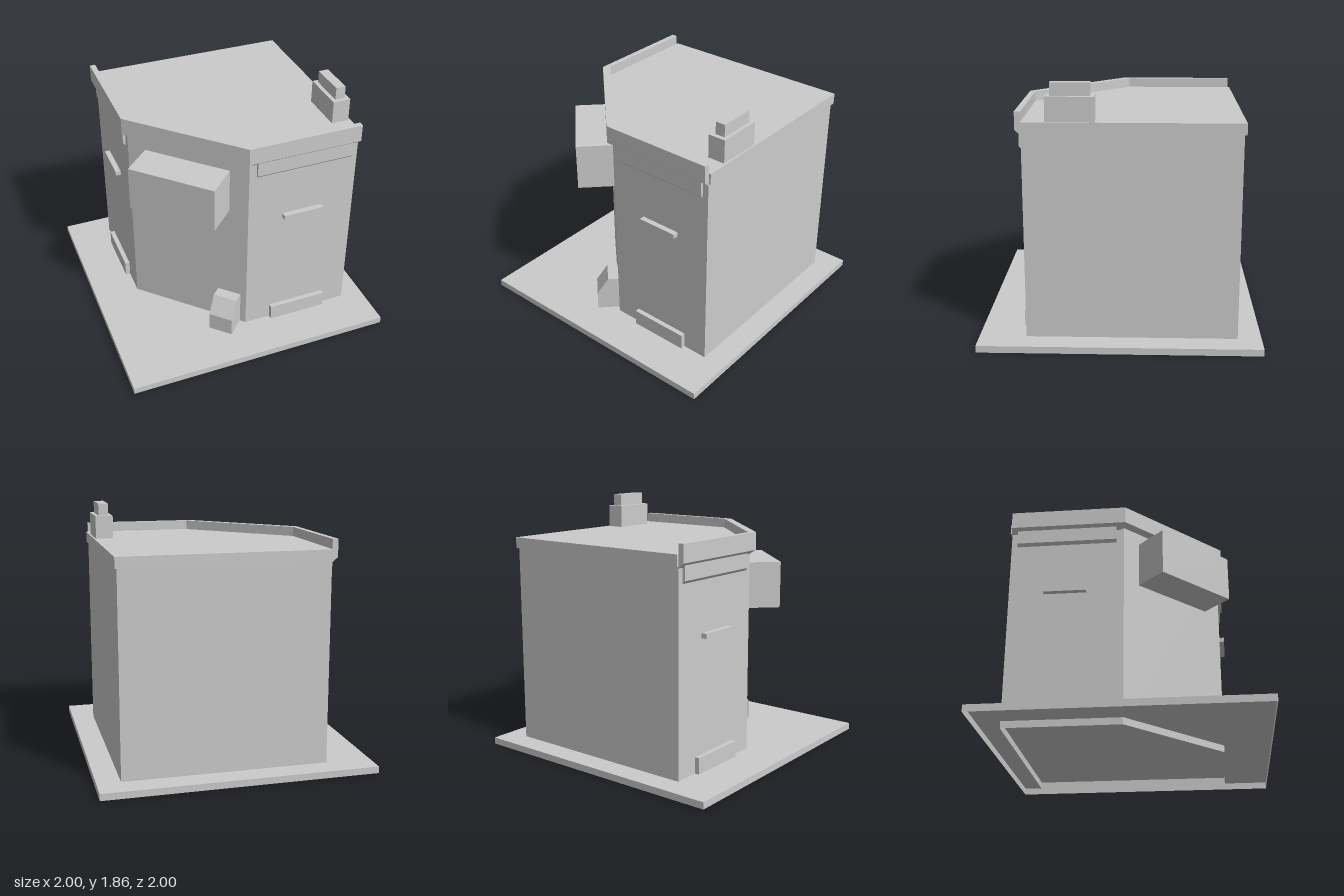
import * as THREE from 'three';

const material = new THREE.MeshStandardMaterial({ color: 0xcccccc, flatShading: true });
const openMaterial = new THREE.MeshStandardMaterial({ color: 0xcccccc, flatShading: true, side: THREE.DoubleSide });

// Joins equal-length cross-sections ([x, y, z] points) with quads and optional flat caps
function loft(sections, capStart = true, capEnd = true) {
  const out = [];
  const tri = (a, b, c) => out.push(...a, ...b, ...c);
  const n = sections[0].length;
  for (let s = 0; s < sections.length - 1; s++) {
    const p = sections[s], q = sections[s + 1];
    for (let i = 0; i < n; i++) {
      const j = (i + 1) % n;
      tri(p[i], p[j], q[j]);
      tri(p[i], q[j], q[i]);
    }
  }
  const first = sections[0], last = sections[sections.length - 1];
  for (let i = 1; i < n - 1; i++) {
    if (capStart) tri(first[0], first[i + 1], first[i]);
    if (capEnd) tri(last[0], last[i], last[i + 1]);
  }
  const g = new THREE.BufferGeometry();
  g.setAttribute('position', new THREE.Float32BufferAttribute(out, 3));
  g.computeVertexNormals();
  return g;
}

// Upright prism over an [x, z] outline
const prism = (outline, y0, y1, capStart, capEnd) =>
  loft([y0, y1].map(y => outline.map(([x, z]) => [x, y, z])), capStart, capEnd);

// Bar along local x with a [y, z] profile
const bar = (profile, x0, x1) => loft([x0, x1].map(x => profile.map(([y, z]) => [x, y, z])));

function add(parent, name, geometry, mat = material) {
  const mesh = new THREE.Mesh(geometry, mat);
  mesh.name = name;
  parent.add(mesh);
  return mesh;
}

function addBox(parent, name, [x0, x1], [y0, y1], [z0, z1]) {
  const mesh = add(parent, name, new THREE.BoxGeometry(x1 - x0, y1 - y0, z1 - z0));
  mesh.position.set((x0 + x1) / 2, (y0 + y1) / 2, (z0 + z1) / 2);
}

// Fascia band, ledge and step on one straight wall; local z = 0 is the wall face
function wallTrim(name) {
  const g = new THREE.Group();
  g.name = name;
  add(g, 'fasciaBand', bar([[1.53, 0.02], [1.42, 0.02], [1.4, 0], [1.53, 0]], -0.365, 0.365));
  addBox(g, 'ledge', [-0.153, 0.153], [1.0, 1.035], [-0.01, 0.04]);
  addBox(g, 'step', [-0.222, 0.222], [0.05, 0.17], [-0.01, 0.035]);
  return g;
}

export function createModel() {
  const model = new THREE.Group();
  model.name = 'cornerBuilding';

  // Ground slab, open underneath
  add(model, 'groundSlab', prism([[-1, 1], [1, 1], [1, -1], [-1, -1]], 0, 0.05, false, true), openMaterial);

  // Walls with a cut corner, running down through the slab
  add(model, 'walls', prism(
    [[0, 0.665], [0.83, 0.665], [0.83, -0.83], [-0.665, -0.83], [-0.665, 0]], 0, 1.55, false, false), openMaterial);

  // Roof slab
  add(model, 'roof', prism(
    [[0.02, 0.663], [0.845, 0.663], [0.845, -0.845], [-0.665, -0.845], [-0.665, -0.027]], 1.52, 1.6));

  // Parapet around the street sides: [outer x, z, inner x, z] at each corner
  const parapet = [
    [-0.707, -0.83, -0.665, -0.83],
    [-0.707, 0.013, -0.665, -0.027],
    [-0.018, 0.705, 0.02, 0.663],
    [0.83, 0.705, 0.83, 0.663],
  ];
  add(model, 'parapet', loft(parapet.map(([ox, oz, ix, iz]) =>
    [[ox, 1.67, oz], [ox, 1.543, oz], [ix, 1.507, iz], [ix, 1.67, iz]])));

  // Chimney
  addBox(model, 'chimneyBase', [0.7, 0.83], [1.6, 1.77], [0.17, 0.503]);
  addBox(model, 'chimneyTop', [0.73, 0.803], [1.77, 1.86], [0.2, 0.47]);

  // Matching trim on the two street walls
  const frontTrim = wallTrim('frontTrim');
  frontTrim.position.set(0.42, 0, 0.665);
  const sideTrim = wallTrim('sideTrim');
  sideTrim.position.set(-0.665, 0, -0.42);
  sideTrim.rotation.y = -Math.PI / 2;
  model.add(frontTrim, sideTrim);

  // Parts on the cut corner: local z points out of the diagonal wall
  const corner = new THREE.Group();
  corner.name = 'cornerParts';
  corner.rotation.y = -Math.PI / 4;
  addBox(corner, 'overhangingBox', [-0.33, 0.325], [1.09, 1.43], [0.46, 0.733]);
  add(corner, 'slopedBin', bar(
    [[0.32, 0.55], [0.19, 0.635], [0.05, 0.635], [0.05, 0.46], [0.32, 0.46]], 0.24, 0.424));
  model.add(corner);

  return model;
}
